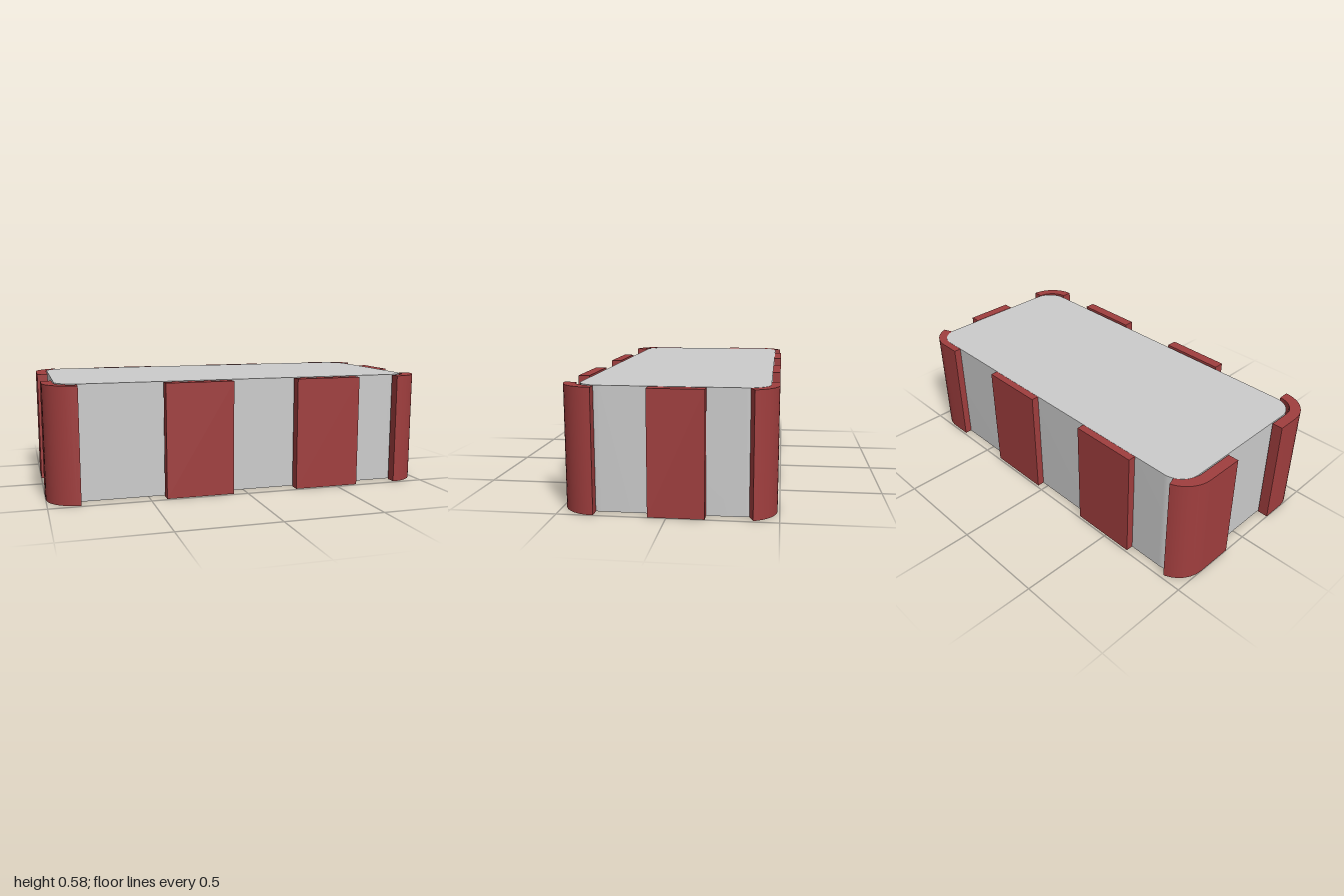
import * as THREE from 'three';
import { toCreasedNormals } from 'three/addons/utils/BufferGeometryUtils.js';

const HEIGHT = 0.58, INSET = 0.001;
const X = 1, Z = 0.49, R = 0.16, T = 0.055; // outer half sizes, corner radius, thickness

const grey = new THREE.MeshStandardMaterial({ color: 0xcccccc });
const red = new THREE.MeshStandardMaterial({ color: 0xa03e3e });

// Raise a plan outline (x, z) into an upright prism
function prism(name, shape, material, inset = 0) {
  const h = HEIGHT - 2 * inset;
  const geo = new THREE.ExtrudeGeometry(shape, { depth: h, bevelEnabled: false, curveSegments: 12 });
  geo.rotateX(Math.PI / 2).translate(0, h + inset, 0);
  const mesh = new THREE.Mesh(toCreasedNormals(geo, 0.5), material);
  mesh.name = name;
  return mesh;
}

function roundedRect(x0, z0, x1, z1, r) {
  const s = new THREE.Shape();
  s.absarc(x1 - r, z1 - r, r, 0, Math.PI / 2);
  s.absarc(x0 + r, z1 - r, r, Math.PI / 2, Math.PI);
  s.absarc(x0 + r, z0 + r, r, Math.PI, Math.PI * 1.5);
  s.absarc(x1 - r, z0 + r, r, Math.PI * 1.5, Math.PI * 2);
  s.closePath();
  return s;
}

// Curved slab around one corner, with optional straight legs at either end
function cornerSlab(name, sx, sz, from, to, lead = 0, tail = 0) {
  const cx = sx * (X - R), cz = sz * (Z - R), steps = 12;
  const side = (r) => {
    const pts = [];
    const add = (deg, along) => {
      const a = THREE.MathUtils.degToRad(deg), c = Math.cos(a), s = Math.sin(a);
      pts.push(new THREE.Vector2(cx + r * c - along * s, cz + r * s + along * c));
    };
    if (lead) add(from, -lead);
    for (let i = 0; i <= steps; i++) add(from + (to - from) * i / steps, 0);
    if (tail) add(to, tail);
    return pts;
  };
  return prism(name, new THREE.Shape([...side(R), ...side(R - T).reverse()]), red, INSET);
}

// Flat slab standing against a straight side
function flatSlab(name, x0, x1, z0, z1) {
  const h = HEIGHT - 2 * INSET;
  const mesh = new THREE.Mesh(new THREE.BoxGeometry(x1 - x0, h, z1 - z0), red);
  mesh.position.set((x0 + x1) / 2, HEIGHT / 2, (z0 + z1) / 2);
  mesh.name = name;
  return mesh;
}

export function createModel() {
  const model = new THREE.Group();
  model.name = 'slabWrappedBlock';

  // Rounded core
  model.add(prism('coreBlock', roundedRect(-0.94, -0.452, 0.94, 0.415, 0.11), grey));

  // Corner slabs
  model.add(
    cornerSlab('frontLeftCorner', 1, 1, 0, 90),
    cornerSlab('frontRightCorner', -1, 1, 90, 180, 0, 0.115),
    cornerSlab('backRightCorner', -1, -1, 180, 252, 0.195, 0),
    cornerSlab('backLeftCorner', 1, -1, 270, 340, 0.11, 0),
  );

  // Flat slabs along the front, back and left sides
  for (const x of [-0.42, 0.27]) model.add(flatSlab('frontSlab', x, x + 0.347, Z - T, Z));
  for (const x of [-0.652, 0.038]) model.add(flatSlab('backSlab', x, x + 0.347, -Z, T - Z));
  model.add(flatSlab('leftSlab', X - T, X, -0.173, 0.084));

  return model;
}
